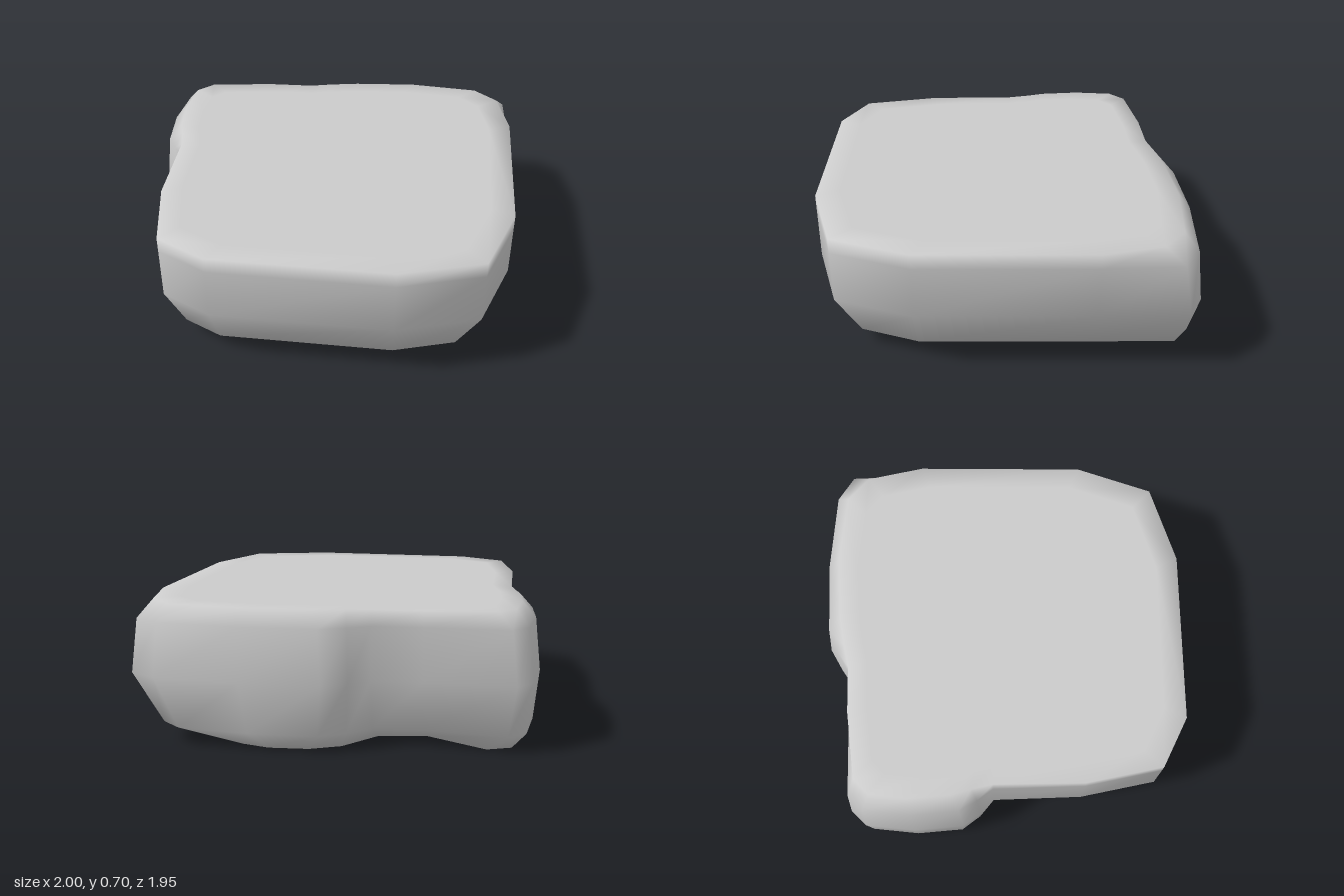
import * as THREE from 'three';

// Plan outlines [x, z], running counterclockwise seen from above, starting at the front
const MIDDLE = [
  [-0.47, 0.97], [0.44, 0.97], [0.86, 0.84], [1, 0.44], [1, -0.45],             // slab front and +x side
  [1, -0.89], [0.86, -0.96], [0.42, -0.98], [0.02, -0.96], [-0.1, -0.89],       // back bulge
  [-0.2, -0.82], [-0.45, -0.795],                                               // hollow between bulges
  [-0.9, -0.79], [-0.975, -0.71], [-1, -0.45], [-0.975, -0.19], [-0.91, -0.1],  // side bulge
  [-0.835, -0.03], [-0.815, 0.44], [-0.73, 0.84],                               // slab -x side
];
const TOP = [
  [-0.47, 0.97], [0.44, 0.97], [0.86, 0.84], [1, 0.44], [1, -0.45],
  [0.93, -0.75], [0.8, -0.86], [0.42, -0.89], [0.08, -0.86], [-0.08, -0.83],
  [-0.2, -0.8], [-0.45, -0.79],
  [-0.8, -0.74], [-0.88, -0.66], [-0.9, -0.45], [-0.88, -0.24], [-0.85, -0.14],
  [-0.825, -0.03], [-0.815, 0.44], [-0.73, 0.84],
];
const BOTTOM = [
  [-0.42, 0.45], [0.42, 0.45], [0.44, 0.44], [0.45, 0.42], [0.45, -0.45],
  [0.45, -0.75], [0.44, -0.86], [0.3, -0.89], [0.1, -0.87], [-0.05, -0.8],
  [-0.2, -0.62], [-0.45, -0.57],
  [-0.76, -0.71], [-0.88, -0.66], [-0.9, -0.45], [-0.88, -0.24], [-0.78, -0.12],
  [-0.6, 0], [-0.48, 0.42], [-0.46, 0.44],
];

const blend = (a, b, t) => a.map(([x, z], i) => [x + (b[i][0] - x) * t, z + (b[i][1] - z) * t]);
const shrink = (a, s) => a.map(([x, z]) => [x * s, z * s]);

// Smooth skin through stacked rings of equal point count
function loft(rings) {
  const n = rings[0].outline.length;
  const positions = rings.flatMap(({ y, outline }) => outline.flatMap(([x, z]) => [x, y, z]));
  const index = [];
  for (let r = 0; r < rings.length - 1; r++) {
    for (let j = 0; j < n; j++) {
      const a = r * n + j, b = r * n + (j + 1) % n;
      index.push(a, b, b + n, a, b + n, a + n);
    }
  }
  // Close both ends with fans
  const low = rings.length * n, high = low + 1, last = (rings.length - 1) * n;
  positions.push(0, rings[0].y, 0, 0, rings[rings.length - 1].y, 0);
  for (let j = 0; j < n; j++) {
    const k = (j + 1) % n;
    index.push(low, k, j, high, last + j, last + k);
  }
  const geometry = new THREE.BufferGeometry();
  geometry.setAttribute('position', new THREE.Float32BufferAttribute(positions, 3));
  geometry.setIndex(index);
  geometry.computeVertexNormals();
  return geometry;
}

export function createModel() {
  const group = new THREE.Group();
  group.name = 'flatRock';
  const rock = new THREE.Mesh(
    loft([
      { y: 0, outline: shrink(BOTTOM, 0.85) },
      { y: 0, outline: BOTTOM },
      { y: 0.09, outline: blend(MIDDLE, BOTTOM, 0.26) },
      { y: 0.35, outline: MIDDLE },
      { y: 0.62, outline: blend(MIDDLE, TOP, 0.3) },
      { y: 0.7, outline: TOP },
      { y: 0.7, outline: shrink(TOP, 0.88) },
    ]),
    new THREE.MeshStandardMaterial({ color: 0xcccccc })
  );
  rock.name = 'rockSlab';
  group.add(rock);
  return group;
}
